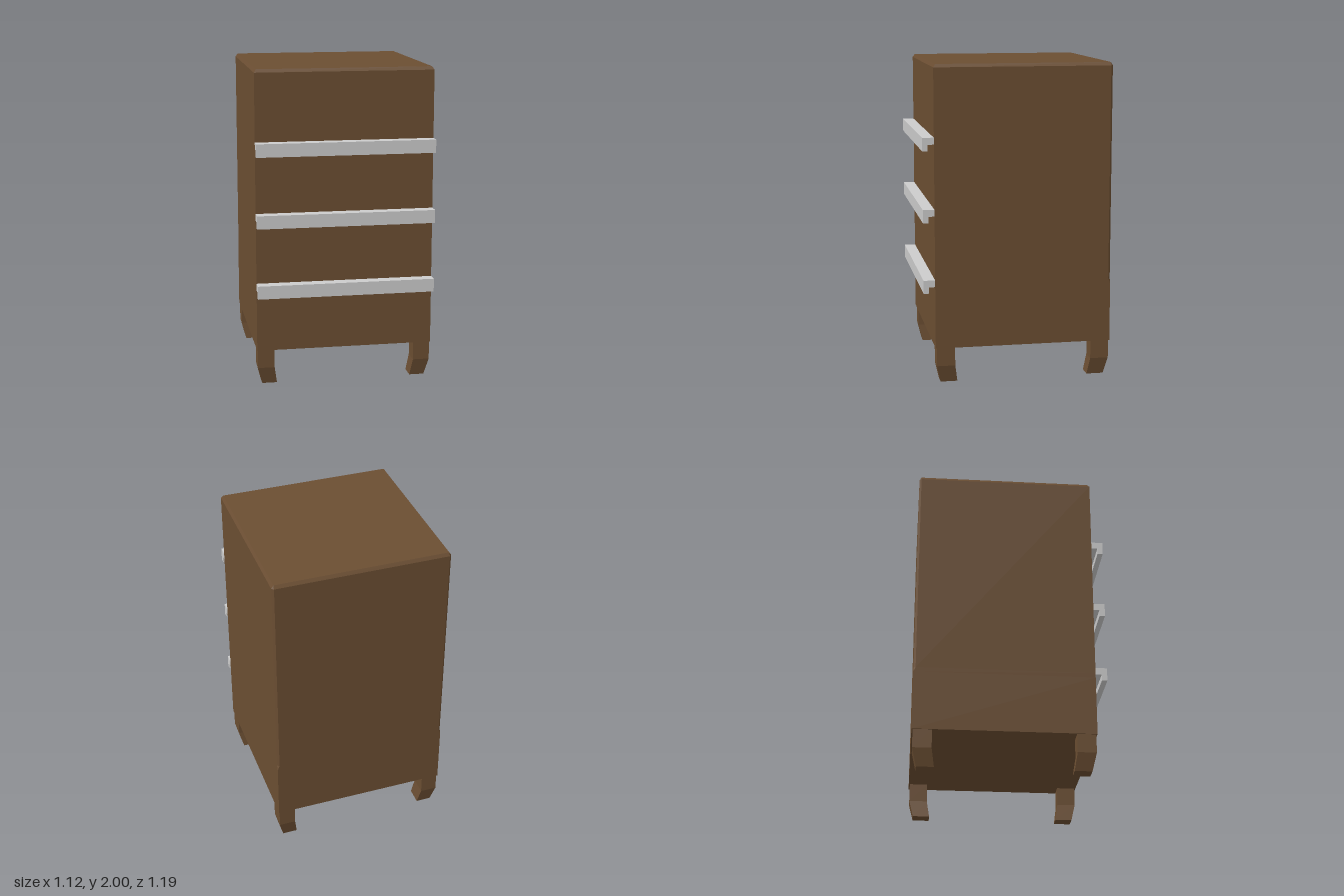
import * as THREE from 'three';

const wood = new THREE.MeshStandardMaterial({ color: 0x6b4e32, flatShading: true });
const metal = new THREE.MeshStandardMaterial({ color: 0xcccccc, flatShading: true });

// Joins horizontal rings of [x, y, z] corners (counter-clockwise from above) and caps both ends.
function loft(rings) {
  const pos = [];
  const tri = (a, b, c) => {
    const [A, B, C] = [a, b, c].map((p) => new THREE.Vector3(...p));
    if (B.sub(A).cross(C.sub(A)).length() > 1e-9) pos.push(...a, ...b, ...c);
  };
  const n = rings[0].length;
  for (let r = 0; r < rings.length - 1; r++) {
    for (let i = 0; i < n; i++) {
      const j = (i + 1) % n;
      tri(rings[r][i], rings[r][j], rings[r + 1][j]);
      tri(rings[r][i], rings[r + 1][j], rings[r + 1][i]);
    }
  }
  const bottom = rings[0], top = rings[rings.length - 1];
  for (let i = 1; i < n - 1; i++) {
    tri(bottom[0], bottom[i + 1], bottom[i]);
    tri(top[0], top[i], top[i + 1]);
  }
  const geo = new THREE.BufferGeometry();
  geo.setAttribute('position', new THREE.Float32BufferAttribute(pos, 3));
  geo.computeVertexNormals();
  return geo;
}

function add(parent, name, geo, mat) {
  const mesh = new THREE.Mesh(geo, mat);
  mesh.name = name;
  parent.add(mesh);
  return mesh;
}

// Cabinet outline at height y: inset all round, with bevelled back corners.
function cabinetRing(y, inset, bevel) {
  const x = 0.56 - inset, front = 0.525 - inset, back = -0.595 + inset;
  return [
    [x, y, front], [x, y, back + bevel], [x - bevel, y, back],
    [-x + bevel, y, back], [-x, y, back + bevel], [-x, y, front],
  ];
}

// Square leg whose foot bends in towards the middle of the cabinet.
function legGeometry(sx, sz) {
  const zMid = -0.035;
  const sections = [ // y, x inner/outer, z inner/outer (from the cabinet middle)
    [0, 0.433, 0.527, 0.42, 0.527],
    [0.11, 0.45, 0.555, 0.437, 0.553],
    [0.228, 0.45, 0.555, 0.437, 0.553],
  ];
  return loft(sections.map(([y, xi, xo, zi, zo]) => {
    const ring = [[xo, zo], [xo, zi], [xi, zi], [xi, zo]]
      .map(([x, z]) => [sx * x, y, zMid + sz * z]);
    return sx * sz < 0 ? ring.reverse() : ring;
  }));
}

export function createModel() {
  const model = new THREE.Group();
  model.name = 'drawerCabinet';

  // Cabinet with bevelled top edge and back corners
  add(model, 'cabinet', loft([
    cabinetRing(0.227, 0, 0),
    cabinetRing(0.6, 0, 0),
    cabinetRing(0.63, 0, 0.013),
    cabinetRing(1.98, 0, 0.013),
    cabinetRing(2, 0.013, 0),
  ]), wood);

  // Legs
  const legs = new THREE.Group();
  legs.name = 'legs';
  model.add(legs);
  for (const [sz, end] of [[1, 'front'], [-1, 'back']]) {
    for (const [sx, side] of [[1, 'Left'], [-1, 'Right']]) {
      add(legs, `${end}${side}Leg`, legGeometry(sx, sz), wood);
    }
  }

  // Full-width hooked handles: a shelf with a lip hanging from its front edge
  const profile = new THREE.Shape([
    [0.525, 0], [0.525, -0.043], [0.563, -0.043],
    [0.563, -0.083], [0.597, -0.083], [0.597, 0],
  ].map(([z, y]) => new THREE.Vector2(-z, y)));
  const handleGeo = new THREE.ExtrudeGeometry(profile, { depth: 1.12, bevelEnabled: false });
  handleGeo.translate(0, 0, -0.56).rotateY(Math.PI / 2);
  ['lower', 'middle', 'upper'].forEach((level, i) => {
    add(model, `${level}Handle`, handleGeo, metal).position.y = 0.665 + i * 0.445;
  });

  return model;
}
